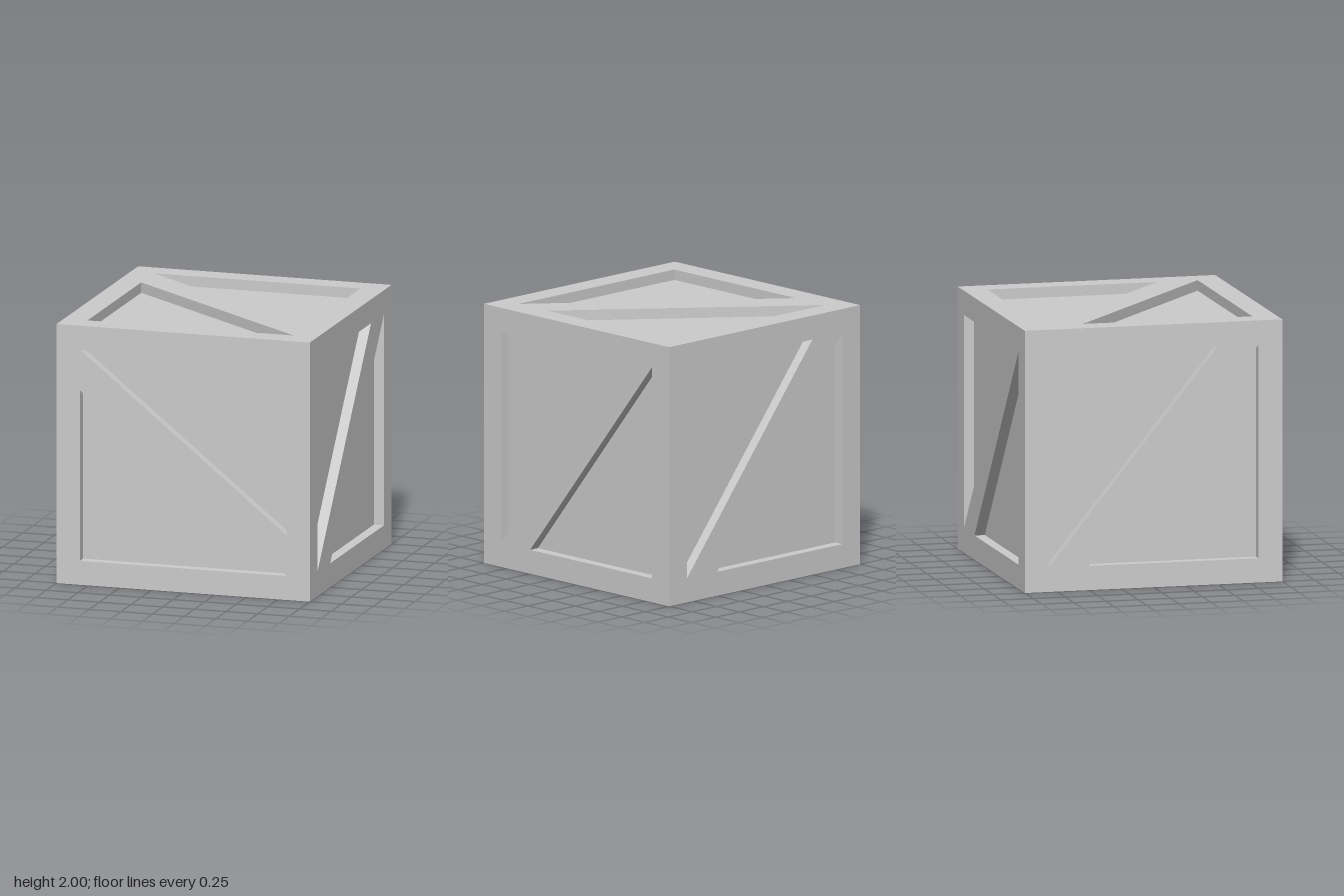
import * as THREE from 'three';

const HALF = 1;        // half the crate's side
const DEPTH = 0.08;    // recess depth
const IN = 0.815;      // inner edge of the frame border
const TIP = 0.5;       // where the brace meets the border

// Square frame with a diagonal brace: two triangular openings, mirrored through the centre
function frameGeometry(triangle) {
  const shape = new THREE.Shape([[-1, -1], [1, -1], [1, 1], [-1, 1]]
    .map(([x, y]) => new THREE.Vector2(x * HALF, y * HALF)));
  for (const s of [1, -1]) {
    shape.holes.push(new THREE.Path(triangle.map(([x, y]) => new THREE.Vector2(x * s, y * s))));
  }
  const geo = new THREE.ExtrudeGeometry(shape, { depth: DEPTH, bevelEnabled: false });

  // Mitre the outer edges so that the six frames meet cleanly
  const p = geo.attributes.position;
  for (let i = 0; i < p.count; i++) {
    if (p.getZ(i) < DEPTH / 2 && Math.abs(p.getX(i)) > HALF - 0.01) {
      p.setX(i, Math.sign(p.getX(i)) * (HALF - DEPTH));
      p.setY(i, Math.sign(p.getY(i)) * (HALF - DEPTH));
    }
  }
  geo.translate(0, 0, HALF - DEPTH);
  geo.computeVertexNormals();
  return geo;
}

export function createModel() {
  const crate = new THREE.Group();
  crate.name = 'crate';
  const grey = new THREE.MeshStandardMaterial({ color: 0xcccccc });
  grey.name = 'light grey';

  // Brace falling to the right, and brace rising to the right
  const falling = frameGeometry([[-IN, IN], [IN, IN], [IN, -TIP]]);
  const rising = frameGeometry([[-IN, IN], [TIP, IN], [-IN, -IN]]);

  // Inner box forming the recessed panels
  const side = 2 * (HALF - DEPTH);
  const core = new THREE.Mesh(new THREE.BoxGeometry(side, side, side), grey);
  core.name = 'recessedPanels';
  core.position.y = HALF;
  crate.add(core);

  // One braced frame per side
  const q = Math.PI / 2;
  const frames = [
    ['frontFrame', falling, 0, 0],
    ['topFrame', falling, -q, 0],
    ['bottomFrame', falling, q, 0],
    ['leftFrame', rising, 0, q],
    ['backFrame', rising, 0, 2 * q],
    ['rightFrame', rising, 0, -q],
  ];
  for (const [name, geo, rx, ry] of frames) {
    const frame = new THREE.Mesh(geo, grey);
    frame.name = name;
    frame.rotation.set(rx, ry, 0);
    frame.position.y = HALF;
    crate.add(frame);
  }
  return crate;
}
